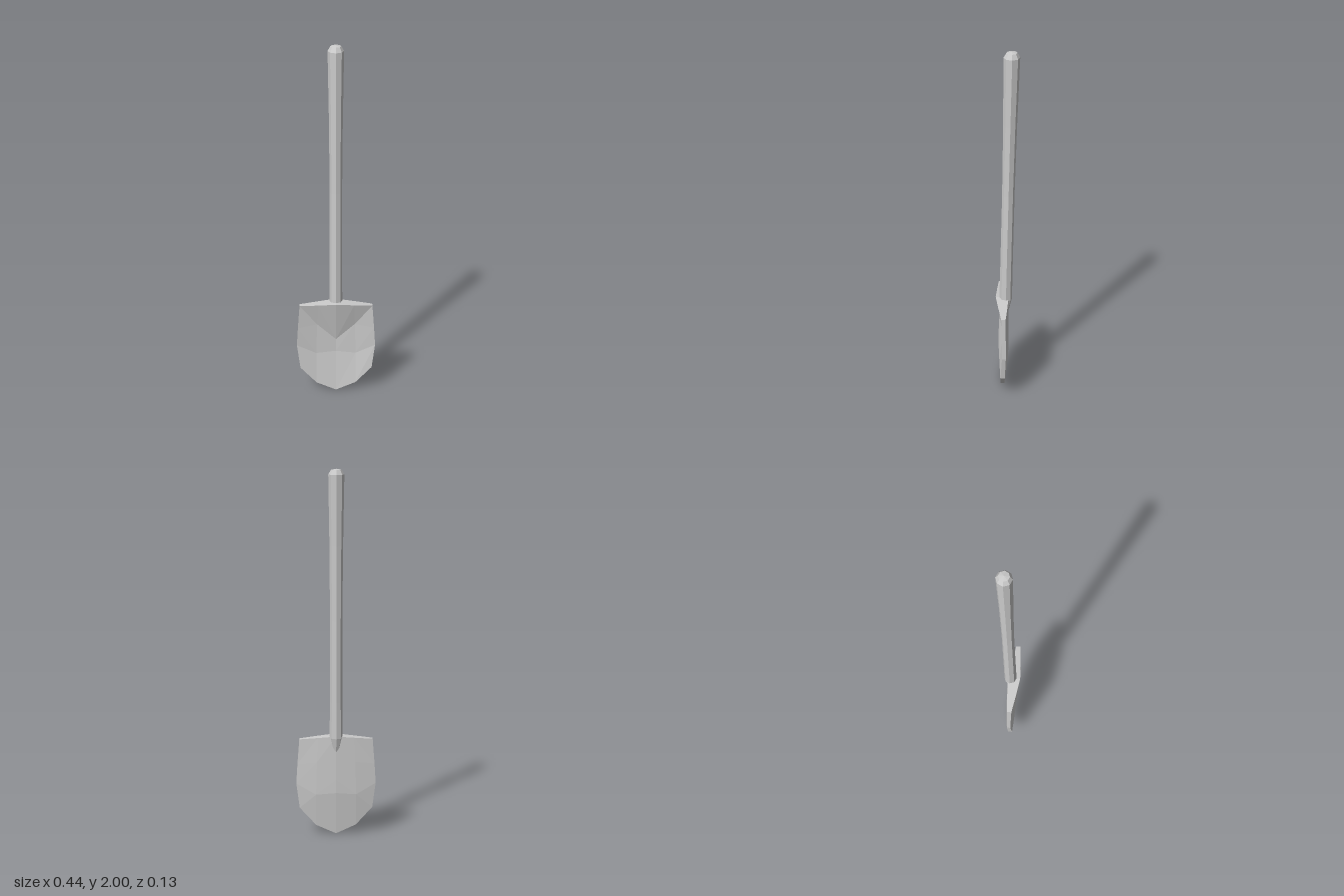
import * as THREE from 'three';

const material = new THREE.MeshStandardMaterial({ color: 0xcccccc, flatShading: true });

// Eight-sided shaft, leaning slightly back, with a pointed root behind the blade
function createHandle() {
  const profile = [
    [0, 0.43], [0.018, 0.47], [0.035, 0.55], [0.034, 0.75], [0.033, 1.2],
    [0.036, 1.6], [0.042, 1.97], [0.028, 1.995], [0, 2],
  ].map(([r, y]) => new THREE.Vector2(r, y));
  const geometry = new THREE.LatheGeometry(profile, 8);
  const pos = geometry.attributes.position;
  for (let i = 0; i < pos.count; i++) {
    pos.setZ(i, pos.getZ(i) + 0.008 - (pos.getY(i) - 0.58) * 0.0225);
  }
  geometry.computeVertexNormals();
  const mesh = new THREE.Mesh(geometry, material);
  mesh.name = 'handle';
  return mesh;
}

// Dished blade: each row runs centre, middle, edge as [x, y, front z, back z]
function createBlade() {
  const half = [
    [[0, 0.56, 0.064, -0.008], [0.1, 0.55, 0.053, 0.003], [0.2, 0.54, 0.04, 0.016]],
    [[0, 0.315, 0.014, -0.008], [0.105, 0.415, 0.021, 0.0], [0.211, 0.4, 0.038, 0.016]],
    [[0, 0.24, 0.015, -0.007], [0.11, 0.23, 0.021, 0.0], [0.218, 0.29, 0.037, 0.016]],
    [[0, 0.0, 0.04, 0.018], [0.11, 0.05, 0.042, 0.019], [0.2, 0.15, 0.045, 0.021]],
  ];
  const rows = half.map(([c, m, e]) => {
    const flip = ([x, ...rest]) => [-x, ...rest];
    return [flip(e), flip(m), c, m, e];
  });
  const vertices = [];
  const point = (r, c, back) => {
    const [x, y, front, rear] = rows[r][c];
    return [x, y, back ? rear : front];
  };
  const tri = (...corners) => corners.forEach((p) => vertices.push(...p));
  const quad = (a, b, c, d) => { tri(a, b, c); tri(a, c, d); };

  // Front and back skins, with diagonals mirrored about the centre line
  for (let r = 0; r < 3; r++) {
    for (let c = 0; c < 4; c++) {
      for (const back of [false, true]) {
        const q = [point(r, c, back), point(r + 1, c, back), point(r + 1, c + 1, back), point(r, c + 1, back)];
        if (c >= 2) q.push(q.shift());
        if (back) q.reverse();
        quad(...q);
      }
    }
  }
  // Rim wall, counter-clockwise around the outline seen from the front
  const rim = [];
  for (let r = 0; r < 3; r++) rim.push([r, 0]);
  for (let c = 0; c < 4; c++) rim.push([3, c]);
  for (let r = 3; r > 0; r--) rim.push([r, 4]);
  for (let c = 4; c > 0; c--) rim.push([0, c]);
  rim.forEach(([r, c], i) => {
    const [r2, c2] = rim[(i + 1) % rim.length];
    quad(point(r, c, false), point(r, c, true), point(r2, c2, true), point(r2, c2, false));
  });

  const geometry = new THREE.BufferGeometry();
  geometry.setAttribute('position', new THREE.Float32BufferAttribute(vertices, 3));
  geometry.computeVertexNormals();
  const mesh = new THREE.Mesh(geometry, material);
  mesh.name = 'blade';
  return mesh;
}

export function createModel() {
  const shovel = new THREE.Group();
  shovel.name = 'shovel';
  shovel.add(createHandle(), createBlade());
  return shovel;
}
